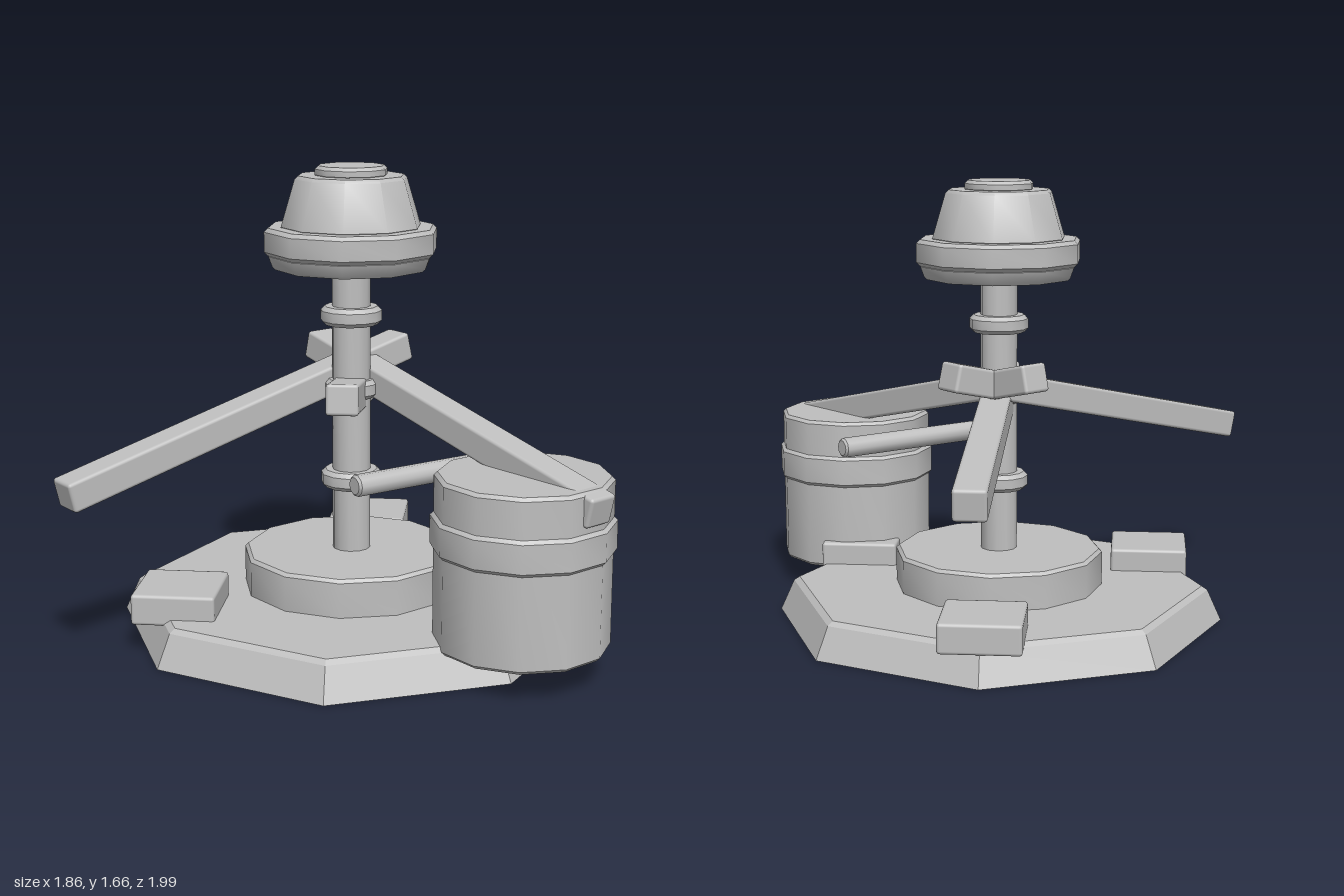
import * as THREE from 'three';
import { toCreasedNormals } from 'three/addons/utils/BufferGeometryUtils.js';
import { RoundedBoxGeometry } from 'three/addons/geometries/RoundedBoxGeometry.js';

const CX = -0.012; // column axis
const CZ = 0.148;

export function createModel() {
  const model = new THREE.Group();
  model.name = 'tripodStand';
  const grey = new THREE.MeshStandardMaterial({ color: 0xbfbfbf });
  grey.name = 'plain grey';

  function add(name, geometry, x, y, z) {
    const mesh = new THREE.Mesh(geometry, grey);
    mesh.name = name;
    mesh.position.set(x, y, z);
    model.add(mesh);
    return mesh;
  }

  // Closed drum from y = 0 to h with small chamfers on both rims
  function drum(r0, r1, h, sides, b = 0.012, crease = 0.7) {
    const profile = [[0, 0], [r0 - b, 0], [r0, b], [r1, h - b], [r1 - b, h], [0, h]]
      .map(([x, y]) => new THREE.Vector2(x, y));
    return toCreasedNormals(new THREE.LatheGeometry(profile, sides), crease);
  }
  const onAxis = (name, y0, y1, r0, r1, sides, b) =>
    add(name, drum(r0, r1, y1 - y0, sides, b), CX, y0, CZ);

  // Square bar running between two points
  function bar(name, from, to, width, height) {
    const a = new THREE.Vector3(...from), c = new THREE.Vector3(...to);
    const mid = a.clone().add(c).multiplyScalar(0.5);
    const mesh = add(name, new RoundedBoxGeometry(width, height, a.distanceTo(c), 2, 0.012), mid.x, mid.y, mid.z);
    mesh.lookAt(c);
  }

  // Octagonal base: sloping sides and a chamfered top edge
  const baseProfile = [[0, 0], [0.85, 0], [0.797, 0.117], [0.775, 0.132], [0, 0.132]]
    .map(([x, y]) => new THREE.Vector2(x, y));
  add('base', toCreasedNormals(new THREE.LatheGeometry(baseProfile, 8), 0.2), CX, 0, CZ);
  onAxis('baseDisc', 0.12, 0.27, 0.395, 0.395, 12, 0.012);

  // Column and collars
  onAxis('column', 0.25, 1.32, 0.069, 0.069, 12, 0.005);
  for (const [y0, y1, r] of [[0.502, 0.568, 0.11], [0.835, 0.902, 0.097], [1.1, 1.166, 0.11]]) {
    onAxis('collar', y0, y1, r, r, 12, 0.015);
  }

  // Head
  onAxis('headUnderside', 1.302, 1.36, 0.283, 0.297, 10, 0.01);
  onAxis('headRim', 1.352, 1.45, 0.312, 0.312, 10, 0.014);
  onAxis('headDome', 1.44, 1.63, 0.252, 0.202, 10, 0.012);
  onAxis('headCap', 1.62, 1.664, 0.13, 0.13, 10, 0.012);

  // Three sloping arms
  bar('backArm', [CX, 0.888, 0.452], [CX, 0.708, -0.988], 0.115, 0.11);
  for (const s of [-1, 1]) {
    bar(s < 0 ? 'rightArm' : 'leftArm',
      [CX - s * 0.158, 0.975, -0.14], [CX + s * 0.878, 0.632, 0.838], 0.115, 0.105);
  }

  // Pads on the base
  for (const [x, z] of [[-0.585, 0.475], [0.56, 0.475], [CX, -0.522]]) {
    add('pad', new RoundedBoxGeometry(0.295, 0.11, 0.293, 2, 0.012), x, 0.163, z);
  }

  // Bucket with a band, hanging beside the base
  const bx = 0.617, bz = 0.645;
  add('bucket', drum(0.3, 0.3, 0.592, 12), bx, 0.108, bz);
  add('bucketBand', drum(0.312, 0.312, 0.122, 12), bx, 0.44, bz);

  // Round handle bar
  const a = new THREE.Vector3(0.05, 0.636, 0.632), c = new THREE.Vector3(0.595, 0.636, 0.182);
  const dir = c.clone().sub(a);
  const handle = add('handle', drum(0.038, 0.038, dir.length(), 10, 0.008), a.x, a.y, a.z);
  handle.quaternion.setFromUnitVectors(new THREE.Vector3(0, 1, 0), dir.normalize());

  return model;
}
